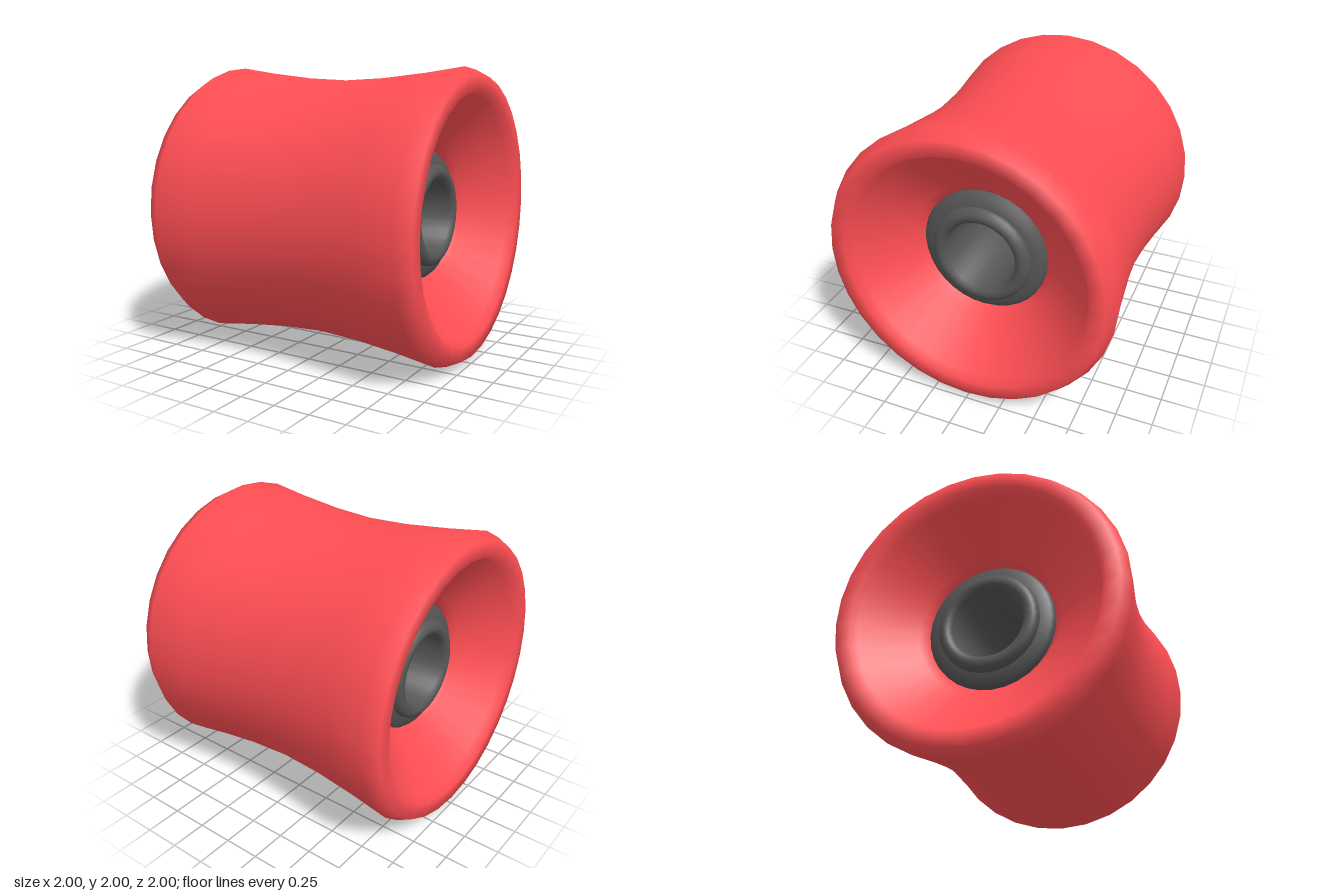
import * as THREE from 'three';
import { toCreasedNormals } from 'three/addons/utils/BufferGeometryUtils.js';

const SEGMENTS = 32;

// Revolves half a profile of [radius, axial position], mirrored across the
// middle plane, into a closed ring lying along x.
// The half profile runs from the outer middle, round the end, to the inner middle.
function symmetricRing(name, half, color) {
  const lower = half.slice(1).reverse().map(([r, x]) => [r, -x]);
  const profile = [...lower, ...half].map(([r, x]) => new THREE.Vector2(r, x));
  const geometry = new THREE.LatheGeometry(profile, SEGMENTS).rotateZ(-Math.PI / 2);
  const mesh = new THREE.Mesh(geometry, new THREE.MeshStandardMaterial({ color }));
  mesh.name = name;
  return mesh;
}

export function createModel() {
  const model = new THREE.Group();
  model.name = 'rollerWheel';

  // Waisted tyre with softly shaded rims and a conical recess in each end
  const tyre = symmetricRing('tyre', [
    [0.91, 0], [0.925, 0.3], [0.96, 0.62], [1, 0.9],
    [0.95, 1], [0.85, 1], [0.82, 0.94], [0.5, 0.68], [0.44, 0.61], [0.43, 0.5], [0.43, 0],
  ], 0xff4e53);

  // Hollow hub with a sloped shoulder and a raised, rounded lip at each end
  const hub = symmetricRing('hub', [
    [0.44, 0], [0.44, 0.64], [0.42, 0.665], [0.35, 0.68],
    [0.345, 0.71], [0.325, 0.73], [0.3, 0.74], [0.27, 0.735], [0.25, 0.71], [0.25, 0],
  ], 0x555555);
  hub.geometry = toCreasedNormals(hub.geometry, 0.95);

  const wheel = new THREE.Group();
  wheel.name = 'wheel';
  wheel.add(tyre, hub);
  wheel.position.y = 1;
  model.add(wheel);
  return model;
}
